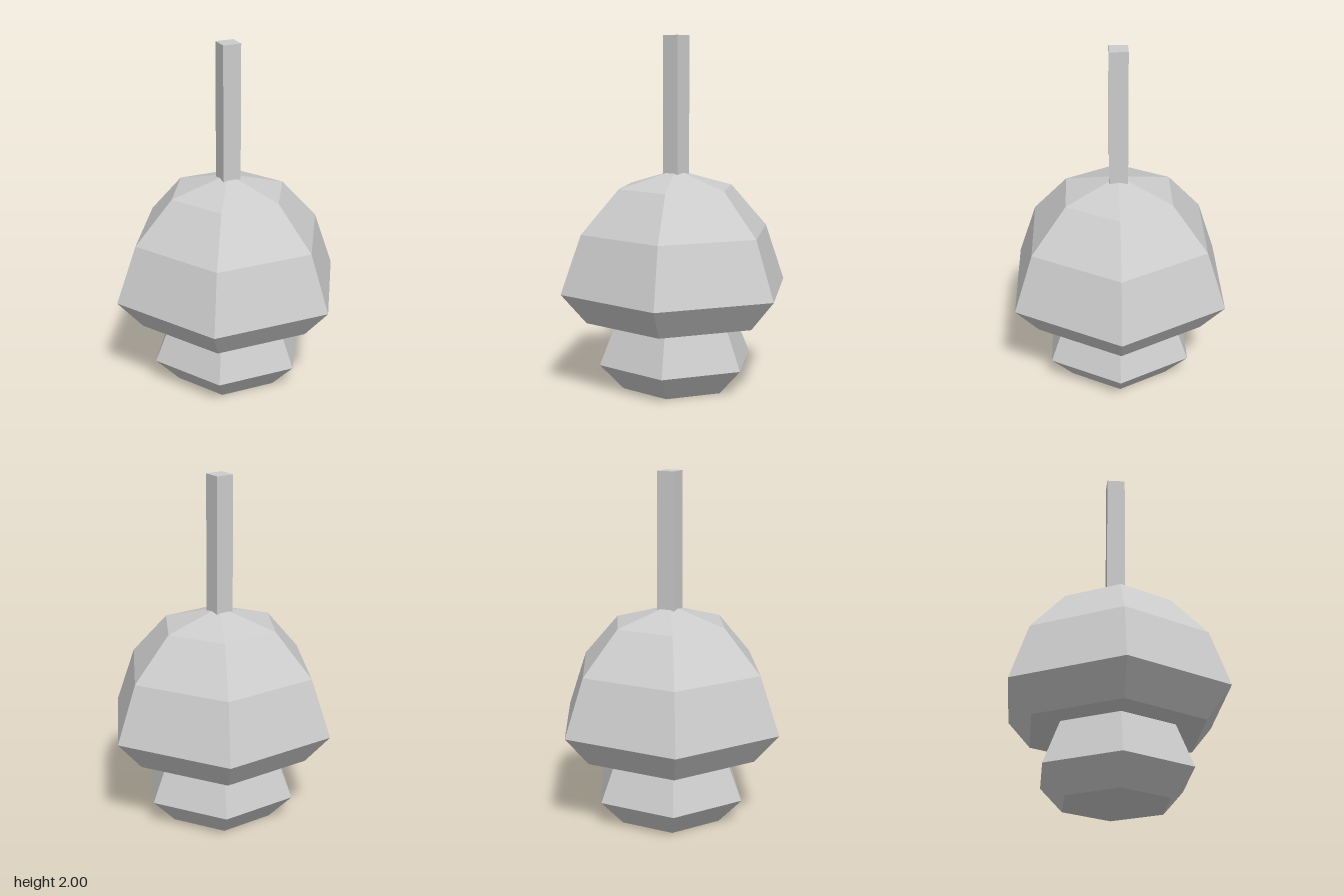
import * as THREE from 'three';

const grey = new THREE.MeshStandardMaterial({ color: 0xcccccc, flatShading: true });
grey.name = 'light grey';

// Six-sided solid of revolution with corners on the x axis; profile runs bottom to top
function hexSolid(name, profile) {
  const points = profile.map(([r, y]) => new THREE.Vector2(r, y));
  const mesh = new THREE.Mesh(new THREE.LatheGeometry(points, 6, Math.PI / 2), grey);
  mesh.name = name;
  return mesh;
}

export function createModel() {
  const model = new THREE.Group();
  model.name = 'model';

  // Faceted foot, tapering up into the underside of the dome
  model.add(hexSolid('base', [[0, 0], [0.32, 0], [0.46, 0.15], [0.357, 0.4], [0.336, 0.45], [0, 0.45]]));

  // Faceted dome with a bevelled lower rim
  model.add(hexSolid('dome', [
    [0, 0.4], [0.535, 0.4], [0.682, 0.573], [0.563, 0.903], [0.342, 1.148], [0, 1.247],
  ]));

  // Square rod rising from the dome's peak
  const rod = new THREE.Mesh(new THREE.BoxGeometry(0.105, 0.85, 0.105), grey);
  rod.position.y = 2 - 0.85 / 2;
  rod.name = 'rod';
  model.add(rod);

  return model;
}
